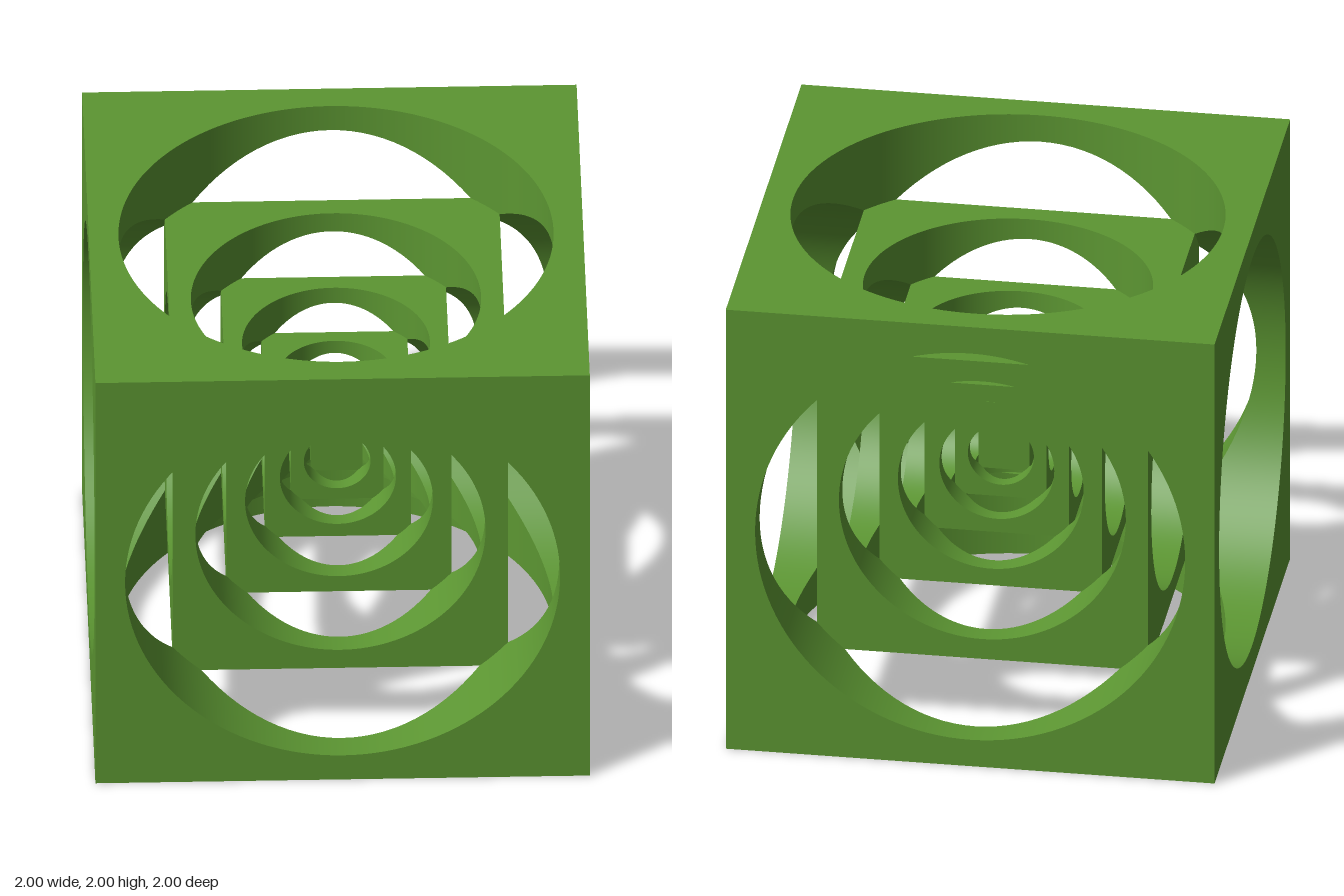
import * as THREE from 'three';

// Half-size of each nested cube and radius of the bore through each hollow one
const HALF = [1, 0.677, 0.455, 0.295, 0.187, 0.105];
const BORE = [0.88, 0.587, 0.38, 0.235, 0.135];

// Angles round a bore, with exact stops where its rim crosses the edges of the next cube.
// cornersOnly keeps just the four arcs lying inside that cube's square face.
function rimAngles(radius, innerHalf, cornersOnly) {
  const cross = Math.acos(innerHalf / radius);
  const quarter = Math.PI / 2;
  const spans = cornersOnly
    ? [[cross, quarter - cross]]
    : [[0, cross], [cross, quarter - cross], [quarter - cross, quarter]];
  const angles = [];
  for (let q = 0; q < 4; q++) {
    for (const [a, b] of spans) {
      const n = cornersOnly || a === cross ? 8 : 14;
      for (let i = 0; i < n + (cornersOnly ? 1 : 0); i++) angles.push(q * quarter + a + (b - a) * i / n);
    }
  }
  return angles;
}

const ring = (radius, angles) =>
  angles.map((t) => new THREE.Vector2(radius * Math.cos(t), radius * Math.sin(t)));

// One cube face: a square trimmed by the bore around it and pierced by its own bore
function faceGeometry(level) {
  const h = HALF[level];
  const outline = level === 0
    ? [[-h, -h], [h, -h], [h, h], [-h, h]].map(([x, y]) => new THREE.Vector2(x, y))
    : ring(BORE[level - 1], rimAngles(BORE[level - 1], h, true));
  const shape = new THREE.Shape(outline);
  if (level < BORE.length) {
    const hole = ring(BORE[level], rimAngles(BORE[level], HALF[level + 1], false));
    shape.holes.push(new THREE.Path(hole.reverse()));
  }
  return new THREE.ShapeGeometry(shape).translate(0, 0, h);
}

// Bore wall: runs from the face down to the crossing bores or the next cube's face
function wallGeometry(level) {
  const r = BORE[level];
  const inner = HALF[level + 1];
  const angles = [...rimAngles(r, inner, false), Math.PI * 2].reverse();
  const geometry = new THREE.PlaneGeometry(1, 1, angles.length - 1, 1);
  const { position, normal } = geometry.attributes;
  for (let i = 0; i < position.count; i++) {
    const t = angles[i % angles.length];
    const c = Math.cos(t);
    const s = Math.sin(t);
    const bottom = Math.max(inner, r * Math.abs(c), r * Math.abs(s));
    position.setXYZ(i, r * c, r * s, i < angles.length ? HALF[level] : bottom);
    normal.setXYZ(i, -c, -s, 0);
  }
  return geometry;
}

export function createModel() {
  const model = new THREE.Group();
  model.name = 'nestedCubes';
  const material = new THREE.MeshStandardMaterial({ color: 0x5c9632 });

  // Rotations that carry the +z side to all six sides
  const q = Math.PI / 2;
  const sides = {
    front: [0, 0], left: [0, q], back: [0, 2 * q], right: [0, -q], top: [-q, 0], bottom: [q, 0],
  };

  HALF.forEach((half, level) => {
    const cube = new THREE.Group();
    cube.name = level < BORE.length ? `hollowCube${level + 1}` : 'solidCore';
    cube.position.y = 1;
    const parts = { Face: faceGeometry(level) };
    if (level < BORE.length) parts.BoreWall = wallGeometry(level);
    for (const [side, [rx, ry]] of Object.entries(sides)) {
      for (const [part, geometry] of Object.entries(parts)) {
        const mesh = new THREE.Mesh(geometry, material);
        mesh.name = side + part;
        mesh.rotation.set(rx, ry, 0);
        cube.add(mesh);
      }
    }
    model.add(cube);
  });
  return model;
}
